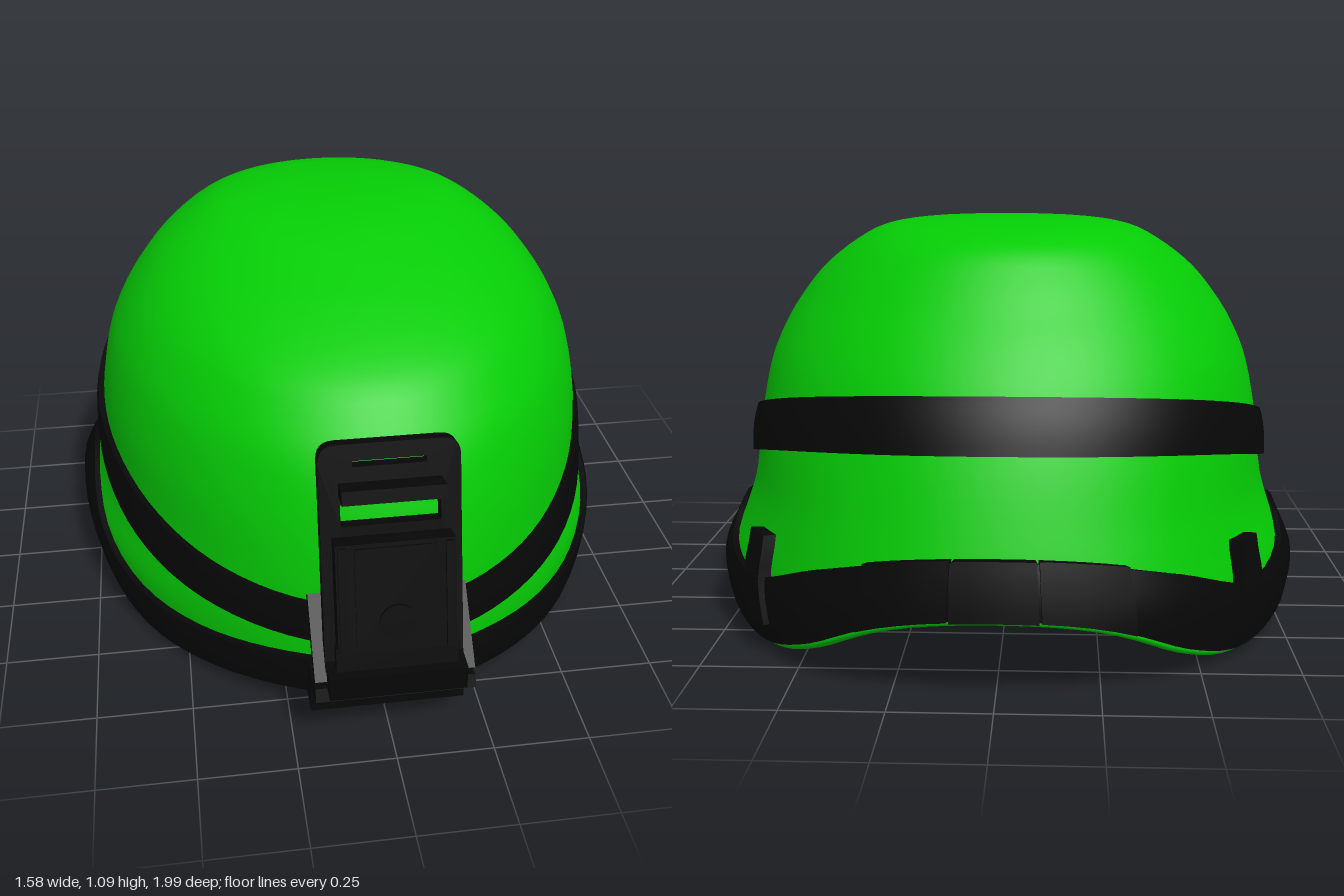
import * as THREE from 'three';
import { mergeVertices, toCreasedNormals } from 'three/addons/utils/BufferGeometryUtils.js';

const green = new THREE.MeshStandardMaterial({ color: 0x05cc05 });
const black = new THREE.MeshStandardMaterial({ color: 0x070707 });

// Dome levels: height, half width, front z, back z, z of the widest point
const LEVELS = [
  [-0.1, 0.725, 0.79, -0.955, -0.25], [0, 0.745, 0.80, -0.96, -0.25],
  [0.1, 0.764, 0.815, -0.965, -0.25], [0.2, 0.77, 0.82, -0.96, -0.24],
  [0.3, 0.735, 0.82, -0.943, -0.2], [0.4, 0.71, 0.815, -0.915, -0.14],
  [0.55, 0.697, 0.79, -0.865, -0.1], [0.7, 0.668, 0.745, -0.80, -0.1],
  [0.8, 0.627, 0.68, -0.74, -0.1], [0.88, 0.577, 0.60, -0.68, -0.11],
  [0.96, 0.51, 0.43, -0.62, -0.13], [1.03, 0.42, 0.23, -0.555, -0.16],
  [1.075, 0.33, 0.08, -0.45, -0.18], [1.095, 0.2, -0.05, -0.32, -0.18],
  [1.1, 0, -0.18, -0.18, -0.18], [1.095, -0.2, -0.32, -0.05, -0.18],
];
const APEX = 14;

// Edge heights sampled every 0.2 along z from -1 to 1
const RIM = [0.22, 0.075, 0.01, 0.05, 0.135, 0.085, 0.03, 0.005, 0.02, 0.05, 0.06];
const LOW_TOP = [0.37, 0.28, 0.195, 0.235, 0.315, 0.27, 0.21, 0.16, 0.155, 0.18, 0.19];
const HIGH_LOW = [0.6, 0.565, 0.525, 0.48, 0.432, 0.385, 0.345, 0.305, 0.268, 0.24, 0.22];

// Catmull-Rom interpolation at a fractional index
function spline(get, n, v) {
  const i = Math.max(0, Math.min(n - 2, Math.floor(v))), t = v - i;
  const a = get(Math.max(0, i - 1)), b = get(i), c = get(i + 1), d = get(Math.min(n - 1, i + 2));
  return b + 0.5 * t * (c - a + t * (2 * a - 5 * b + 4 * c - d + t * (3 * (b - c) + d - a)));
}
const level = (col, v) => spline((i) => LEVELS[i][col], LEVELS.length, v);
const edge = (table) => (z) => spline((i) => table[i], table.length, (z + 1) * 5);
const rim = edge(RIM), lowTop = edge(LOW_TOP), highLow = edge(HIGH_LOW);

function levelAt(y) {
  let lo = 0, hi = APEX;
  for (let k = 0; k < 24; k++) {
    const mid = (lo + hi) / 2;
    if (level(0, mid) < y) lo = mid; else hi = mid;
  }
  return lo;
}

// Point on the dome: angle from the front, level, distance outward
function dome(a, v, off = 0) {
  const zc = level(4, v), c = Math.cos(a), s = Math.sin(a);
  const reach = c > 0 ? level(2, v) - zc : zc - level(3, v);
  // the plan is drawn in on the diagonals: slightly in front, and low down behind
  const high = THREE.MathUtils.smoothstep(v, 2.5, 6);
  const pinch = c > 0 ? 0.025 * Math.cos(2 * a) * (1 - high) + 0.015 * high : 0.085 * s * s * (1 - high);
  const k = 1 - pinch * Math.sin(2 * a) ** 2;
  return [
    k * level(1, v) * (1 + off / 0.74) * s,
    level(0, v) + off * (v / APEX) ** 2,
    zc + k * reach * (1 + off / 0.85) * c,
  ];
}

// Level where an edge height that depends on z meets the dome at this angle
function edgeLevel(a, fn) {
  let v = 3;
  for (let k = 0; k < 8; k++) v = levelAt(fn(dome(a, v)[2]));
  return v;
}

// Surface from a list of cross-section columns
function loft(columns) {
  const rows = columns[0].length, index = [];
  for (let i = 0; i < columns.length - 1; i++) {
    for (let j = 0; j < rows - 1; j++) {
      const a = i * rows + j, b = a + rows;
      index.push(a, b, b + 1, a, b + 1, a + 1);
    }
  }
  const g = new THREE.BufferGeometry();
  g.setAttribute('position', new THREE.Float32BufferAttribute(columns.flat(2), 3));
  g.setIndex(index);
  return mergeVertices(g, 1e-5);
}

function add(parent, name, geometry, material = black) {
  const m = new THREE.Mesh(geometry, material);
  m.name = name;
  parent.add(m);
  return m;
}

function shellGeometry() {
  const N = 96, M = 40, T = -0.038, R = 0.13, columns = [];
  for (let i = 0; i <= N; i++) {
    const a = ((i % N) / N) * Math.PI * 2, r = edgeLevel(a, rim), col = [];
    for (let j = 0; j <= M; j++) col.push(dome(a, APEX + (r + R - APEX) * (j / M), T));
    // rounded rim
    for (let k = 1; k < 8; k++) {
      const q = (k / 8) * Math.PI;
      col.push(dome(a, r + R - R * Math.sin(q), T * (0.5 + 0.5 * Math.cos(q))));
    }
    for (let j = 0; j <= M; j++) col.push(dome(a, r + R + (APEX - r - R) * (j / M)));
    columns.push(col);
  }
  const g = loft(columns);
  g.computeVertexNormals();
  return g;
}

// Strap lying on the dome between two edges, closed or with capped ends
function strapGeometry(lo, hi, off, a0 = 0, a1 = Math.PI * 2, n = 96, skew = 0) {
  const closed = a1 - a0 > 6.28, angles = [], S = 6, columns = [];
  for (let i = 0; i <= n; i++) angles.push(a0 + (a1 - a0) * (closed ? (i % n) / n : i / n));
  if (!closed) { angles.unshift(a0); angles.push(a1); }
  angles.forEach((a, i) => {
    const cap = !closed && (i === 0 || i === angles.length - 1);
    const v0 = edgeLevel(a, lo), v1 = edgeLevel(a, hi), o = cap ? -0.01 : off;
    const col = [dome(a - skew / 2, v0, -0.01)];
    for (let s = 0; s <= S; s++) {
      const bulge = closed ? 0.8 + 0.2 * Math.sin((s / S) * Math.PI) : 1;
      col.push(dome(a + skew * (s / S - 0.5), v0 + (v1 - v0) * (s / S), o * bulge));
    }
    col.push(dome(a + skew / 2, v1, -0.01));
    columns.push(col);
  });
  return toCreasedNormals(loft(columns), 0.7);
}

function box(parent, name, w, h, d, x, y, z) {
  const m = add(parent, name, new THREE.BoxGeometry(w, h, d));
  m.position.set(x, y, z);
  return m;
}

// Flat plate spanning two (z, y) points
function slab(parent, name, z0, y0, z1, y1, w, t) {
  const m = box(parent, name, w, t, Math.hypot(z1 - z0, y1 - y0), 0, (y0 + y1) / 2, (z0 + z1) / 2);
  m.rotation.x = -Math.atan2(y1 - y0, z1 - z0);
}

function rectHole(w, y0, y1) {
  const p = new THREE.Path();
  p.moveTo(-w, y0).lineTo(-w, y1).lineTo(w, y1).lineTo(w, y0).closePath();
  return p;
}

function frontMount() {
  const mount = new THREE.Group();
  mount.name = 'frontMount';
  // bracket clamped round the front rim
  box(mount, 'bracketBase', 0.4, 0.12, 0.085, 0, 0.115, 0.812);
  slab(mount, 'bracketLip', 0.71, 0.055, 0.855, 0.07, 0.4, 0.025);
  slab(mount, 'lowerArm', 0.83, 0.155, 0.965, 0.205, 0.4, 0.035);
  slab(mount, 'upperArm', 0.795, 0.385, 0.94, 0.225, 0.4, 0.035);
  box(mount, 'hinge', 0.34, 0.065, 0.1, 0, 0.25, 0.95);

  // tilted plate with slot and window
  const plate = new THREE.Group();
  plate.name = 'mountPlate';
  plate.position.set(0, 0.25, 0.92);
  plate.rotation.x = -0.245;
  mount.add(plate);
  const s = new THREE.Shape(), W = 0.172, H = 0.58, R = 0.045;
  s.moveTo(-W, 0).lineTo(W, 0).lineTo(W, H - R).quadraticCurveTo(W, H, W - R, H)
    .lineTo(R - W, H).quadraticCurveTo(-W, H, -W, H - R).closePath();
  s.holes.push(rectHole(0.09, 0.523, 0.538), rectHole(0.122, 0.375, 0.43));
  const g = new THREE.ExtrudeGeometry(s, { depth: 0.04, bevelEnabled: false, curveSegments: 6 });
  add(plate, 'plate', g).position.z = -0.02;
  box(plate, 'crossBar', 0.25, 0.035, 0.065, 0, 0.468, 0.05);
  box(plate, 'plateBody', 0.29, 0.28, 0.06, 0, 0.21, 0.046);
  box(plate, 'centrePanel', 0.2, 0.25, 0.01, 0, 0.215, 0.078);
  box(plate, 'lowerRib', 0.3, 0.06, 0.03, 0, 0.05, 0.05);
  for (const x of [-0.13, 0.13]) box(plate, 'sideRail', 0.02, 0.27, 0.012, x, 0.21, 0.079);
  const knob = add(plate, 'knob', new THREE.CylinderGeometry(0.045, 0.045, 0.01, 24));
  knob.rotation.x = Math.PI / 2;
  knob.position.set(0, 0.15, 0.086);
  return mount;
}

export function createModel() {
  const model = new THREE.Group();
  model.name = 'helmet';
  add(model, 'shell', shellGeometry(), green);

  // straps round the shell
  add(model, 'upperStrap', strapGeometry(highLow, (z) => highLow(z) + 0.125 - 0.02 * z, 0.022));
  const lowEdge = (z) => rim(z) + 0.018;
  add(model, 'lowerStrap', strapGeometry(lowEdge, lowTop, 0.02));

  // plates on the back of the lower strap
  const top = (z) => lowTop(z) + 0.008;
  add(model, 'backPlate', strapGeometry(lowEdge, top, 0.038, Math.PI - 0.13, Math.PI + 0.13, 4));
  for (const side of [-1, 1]) {
    const mid = Math.PI + side * 0.285;
    add(model, 'backSidePlate', strapGeometry(lowEdge, top, 0.028, mid - 0.145, mid + 0.145, 4));
  }

  // clips on both sides towards the back
  for (const side of [-1, 1]) {
    const mid = Math.PI + side * 0.985;
    add(model, 'strapClip', strapGeometry(() => 0.09, () => 0.31, 0.036, mid - 0.06, mid + 0.06, 3, side * 0.03));
  }

  model.add(frontMount());
  return model;
}
